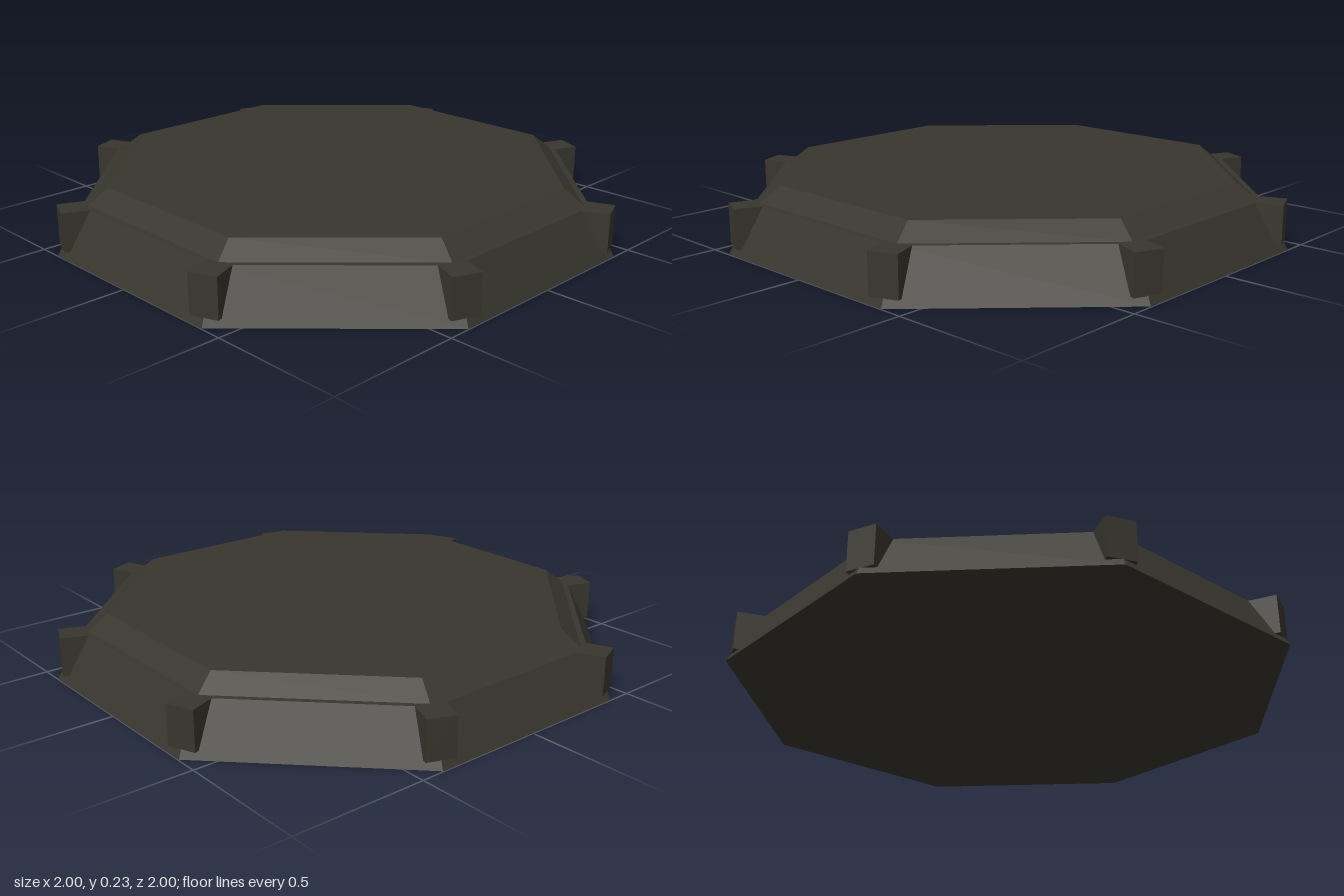
import * as THREE from 'three';

export function createModel() {
  const model = new THREE.Group();
  model.name = 'octagonalPlatform';
  const darkOlive = new THREE.MeshStandardMaterial({ color: 0x38362d });
  darkOlive.name = 'darkOlive';
  darkOlive.flatShading = true;

  // Profile as [apothem, height]: sloped wall, narrow ledge, bevel, flat top
  const toCorner = 1 / Math.cos(Math.PI / 8);
  const profile = [[0, 0], [0.997, 0], [0.908, 0.175], [0.887, 0.175], [0.817, 0.232], [0, 0.232]]
    .map(([a, y]) => new THREE.Vector2(a * toCorner, y));
  const slab = new THREE.Mesh(new THREE.LatheGeometry(profile, 8, Math.PI / 8), darkOlive);
  slab.name = 'slab';
  model.add(slab);

  // Upright block at each corner, sunk into the sloped wall
  const inner = 0.95, outer = 1.062, bottom = 0.028, top = 0.1755;
  const blockGeometry = new THREE.BoxGeometry(0.104, top - bottom, outer - inner);
  blockGeometry.translate(0, (top + bottom) / 2, (inner + outer) / 2);
  for (let i = 0; i < 8; i++) {
    const block = new THREE.Mesh(blockGeometry, darkOlive);
    block.name = 'cornerBlock' + (i + 1);
    block.rotation.y = (i + 0.5) * Math.PI / 4;
    model.add(block);
  }
  return model;
}
